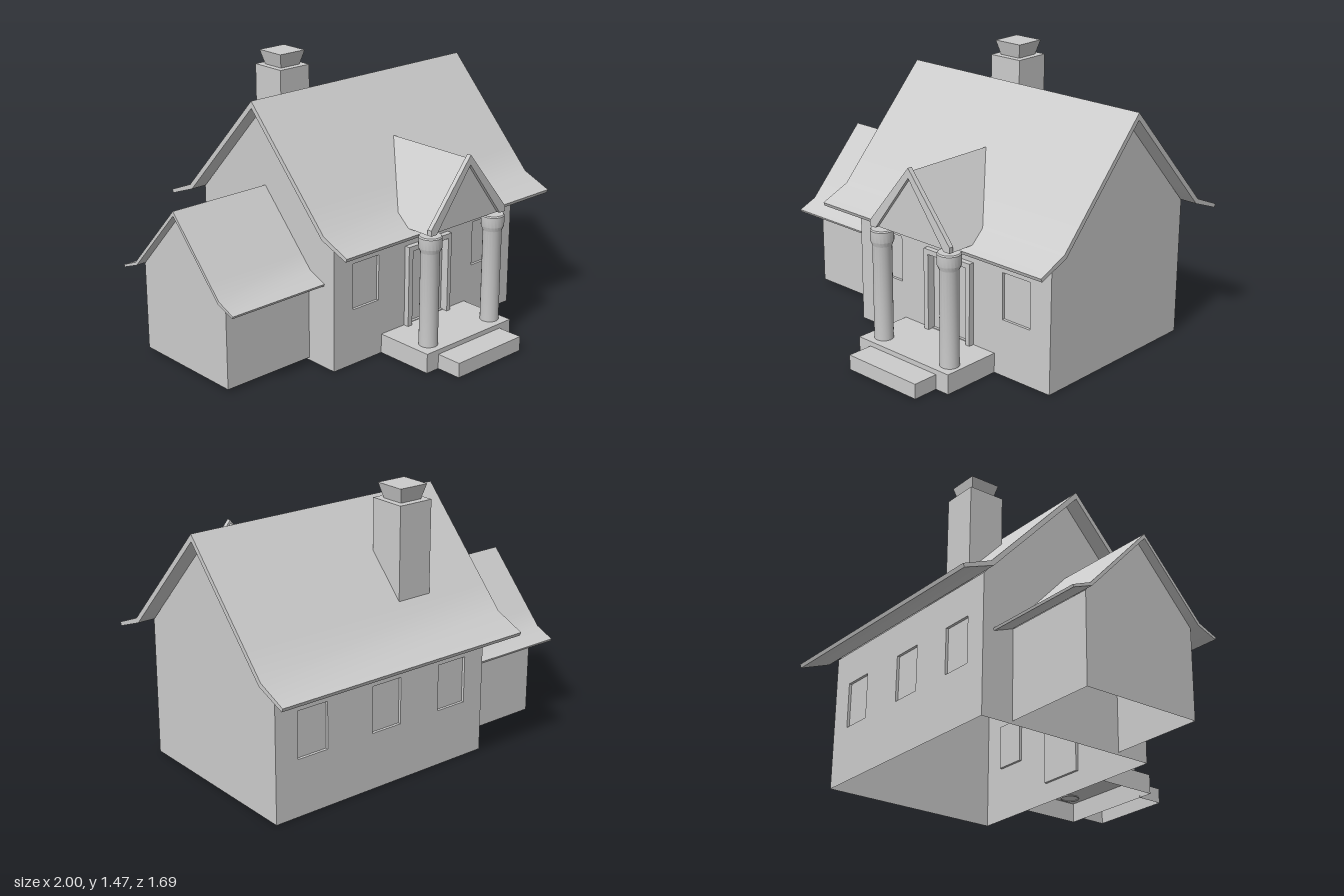
import * as THREE from 'three';
import { toCreasedNormals } from 'three/addons/utils/BufferGeometryUtils.js';

const grey = new THREE.MeshStandardMaterial({ color: 0xcccccc, side: THREE.DoubleSide });
const FACES = { bottom: 3, front: 4, back: 5 };

function add(parent, name, geometry, x = 0, y = 0, z = 0) {
  const mesh = new THREE.Mesh(geometry, grey);
  mesh.name = name;
  mesh.position.set(x, y, z);
  parent.add(mesh);
  return mesh;
}

const shapeOf = (pts) => new THREE.Shape(pts.map(([x, y]) => new THREE.Vector2(x, y)));
const rect = (x0, x1, y0, y1) => [[x0, y0], [x1, y0], [x1, y1], [x0, y1]];

// Box given by its limits, with one face left out
function openBox(parent, name, [x0, x1], [y0, y1], [z0, z1], skip) {
  const g = new THREE.BoxGeometry(x1 - x0, y1 - y0, z1 - z0);
  const index = Array.from(g.index.array);
  index.splice(FACES[skip] * 6, 6);
  g.setIndex(index);
  g.clearGroups();
  return add(parent, name, g, (x0 + x1) / 2, (y0 + y1) / 2, (z0 + z1) / 2);
}

// Half widths and heights shared by the house and its smaller wing
const HALF = 0.515, WALL = 0.74, PEAK = 1.297;

// Gabled roof with flared eaves, running along x
function addRoof(parent, x0, x1) {
  const top = [[0.7, 0.693], [0.535, 0.762], [0.42, 0.885], [0, 1.335]];
  const under = [[0, PEAK], [0.41, 0.858], [0.52, 0.74], [0.692, 0.674]];
  const mirror = (pts) => pts.filter(([u]) => u > 0).reverse().map(([u, y]) => [-u, y]);
  const outline = [...top, ...mirror(top), ...mirror(under), ...under];
  const g = new THREE.ExtrudeGeometry(shapeOf(outline), { depth: x1 - x0, bevelEnabled: false });
  g.rotateY(Math.PI / 2);
  add(parent, 'roof', toCreasedNormals(g, 0.6), x0);
}

// Front or back wall with openings cut out
function addLongWall(parent, name, x0, x1, z, openings = []) {
  const shape = shapeOf(rect(x0, x1, 0, WALL));
  for (const o of openings) {
    shape.holes.push(new THREE.Path(rect(...o).map(([x, y]) => new THREE.Vector2(x, y))));
  }
  const g = new THREE.ShapeGeometry(shape);
  if (z < 0) { // turn the back wall outward
    g.scale(-1, 1, 1);
    g.rotateY(Math.PI);
    g.setIndex(Array.from(g.index.array).reverse());
    g.computeVertexNormals();
  }
  add(parent, name, g, 0, 0, z);
}

// Gable end wall facing +x (side 1) or -x (side -1)
function addGable(parent, x, side) {
  const g = new THREE.ShapeGeometry(shapeOf([[-HALF, 0], [HALF, 0], [HALF, WALL], [0, PEAK], [-HALF, WALL]]));
  g.rotateY(side * Math.PI / 2);
  add(parent, 'gableWall', g, x);
}

// Main house
function addHouse(root) {
  const house = new THREE.Group();
  house.name = 'mainHouse';
  house.position.z = -0.145;
  root.add(house);
  const win = (x) => [x - 0.09, x + 0.09, 0.305, 0.555];
  const frontOpenings = [win(-0.195), win(0.69), [0.115, 0.38, 0.11, 0.525]];
  const backOpenings = [win(-0.2), win(0.23), win(0.69)];
  addLongWall(house, 'frontWall', -0.415, 0.91, HALF, frontOpenings);
  addLongWall(house, 'backWall', -0.415, 0.91, -HALF, backOpenings);
  addGable(house, 0.91, 1);
  addGable(house, -0.415, -1);
  addRoof(house, -0.5, 1);
  // Shallow recesses for windows and door
  const depth = 0.015;
  frontOpenings.forEach(([a, b, c, d], i) =>
    openBox(house, i < 2 ? 'frontWindow' : 'door', [a, b], [c, d], [HALF - depth, HALF], 'front'));
  backOpenings.forEach(([a, b, c, d]) =>
    openBox(house, 'backWindow', [a, b], [c, d], [-HALF, -HALF + depth], 'back'));
}

// Side wing: the same building at a smaller scale
function addWing(root) {
  const s = 0.643;
  const wing = new THREE.Group();
  wing.name = 'sideWing';
  wing.scale.setScalar(s);
  wing.position.set(0, 0.015, -0.15);
  root.add(wing);
  addLongWall(wing, 'wingFrontWall', -0.95 / s, -0.41 / s, HALF);
  addLongWall(wing, 'wingBackWall', -0.95 / s, -0.41 / s, -HALF);
  addGable(wing, -0.95 / s, -1);
  addRoof(wing, -1 / s, -0.405 / s);
}

function addChimney(root) {
  const chimney = new THREE.Group();
  chimney.name = 'chimney';
  chimney.position.set(-0.037, 0, -0.447);
  root.add(chimney);
  add(chimney, 'chimneyStack', new THREE.BoxGeometry(0.2, 0.53, 0.204), 0, 1.125, 0);
  const pot = new THREE.CylinderGeometry(0.085 * Math.SQRT2, 0.064 * Math.SQRT2, 0.08, 4);
  pot.rotateY(Math.PI / 4);
  add(chimney, 'chimneyCap', toCreasedNormals(pot, 0.5), 0, 1.428, 0);
}

// Porch roof running back into the main roof slope
function addPorchRoof(porch) {
  const front = 0.64, low = 0.715, ridge = 1.06, half = 0.275;
  const breakHalf = half * (ridge - 0.76) / (ridge - low);
  const pos = [];
  const fan = (pts) => {
    for (let i = 1; i < pts.length - 1; i++) pos.push(...pts[0], ...pts[i], ...pts[i + 1]);
  };
  for (const s of [1, -1]) {
    const slope = [[s * half, low, front], [s * half, low, 0.5], [s * breakHalf, 0.76, 0.39],
      [0, ridge, 0.11], [0, ridge, front]];
    fan(s > 0 ? slope : slope.reverse());
  }
  fan([[-half, low, front], [half, low, front], [0, ridge, front]]);
  fan([[-half, low, front], [-half, low, 0.5], [half, low, 0.5], [half, low, front]]);
  const g = new THREE.BufferGeometry();
  g.setAttribute('position', new THREE.Float32BufferAttribute(pos, 3));
  g.computeVertexNormals();
  add(porch, 'porchRoof', g, 0.247);

  // Chevron trim in front of the pediment
  const trim = shapeOf([[-0.275, low], [-0.235, low], [0, 1.028], [0.235, low],
    [0.275, low], [0.275, 0.745], [0, 1.08], [-0.275, 0.745]]);
  add(porch, 'pedimentTrim', new THREE.ExtrudeGeometry(trim, { depth: 0.025, bevelEnabled: false }),
    0.247, 0, 0.635);
}

function addPorch(root) {
  const porch = new THREE.Group();
  porch.name = 'porch';
  root.add(porch);
  openBox(porch, 'porchFloor', [-0.082, 0.549], [0, 0.106], [0.37, 0.702], 'bottom');
  openBox(porch, 'step', [0, 0.467], [0, 0.08], [0.7, 0.845], 'bottom');

  // Columns with flared capitals
  const profile = [[0.05, 0.1], [0.05, 0.615], [0.061, 0.64], [0.061, 0.695], [0.056, 0.702], [0, 0.702]]
    .map(([r, y]) => new THREE.Vector2(r, y));
  for (const x of [0.012, 0.478]) {
    add(porch, 'column', toCreasedNormals(new THREE.LatheGeometry(profile, 20), 0.5), x, 0, 0.617);
  }

  // Raised surround of the door
  const frame = shapeOf([[0.085, 0.1], [0.115, 0.1], [0.115, 0.525], [0.38, 0.525],
    [0.38, 0.1], [0.405, 0.1], [0.405, 0.552], [0.085, 0.552]]);
  add(porch, 'doorFrame', new THREE.ExtrudeGeometry(frame, { depth: 0.03, bevelEnabled: false }), 0, 0, 0.37);
  addPorchRoof(porch);
}

export function createModel() {
  const root = new THREE.Group();
  root.name = 'cottage';
  addHouse(root);
  addWing(root);
  addChimney(root);
  addPorch(root);
  return root;
}
